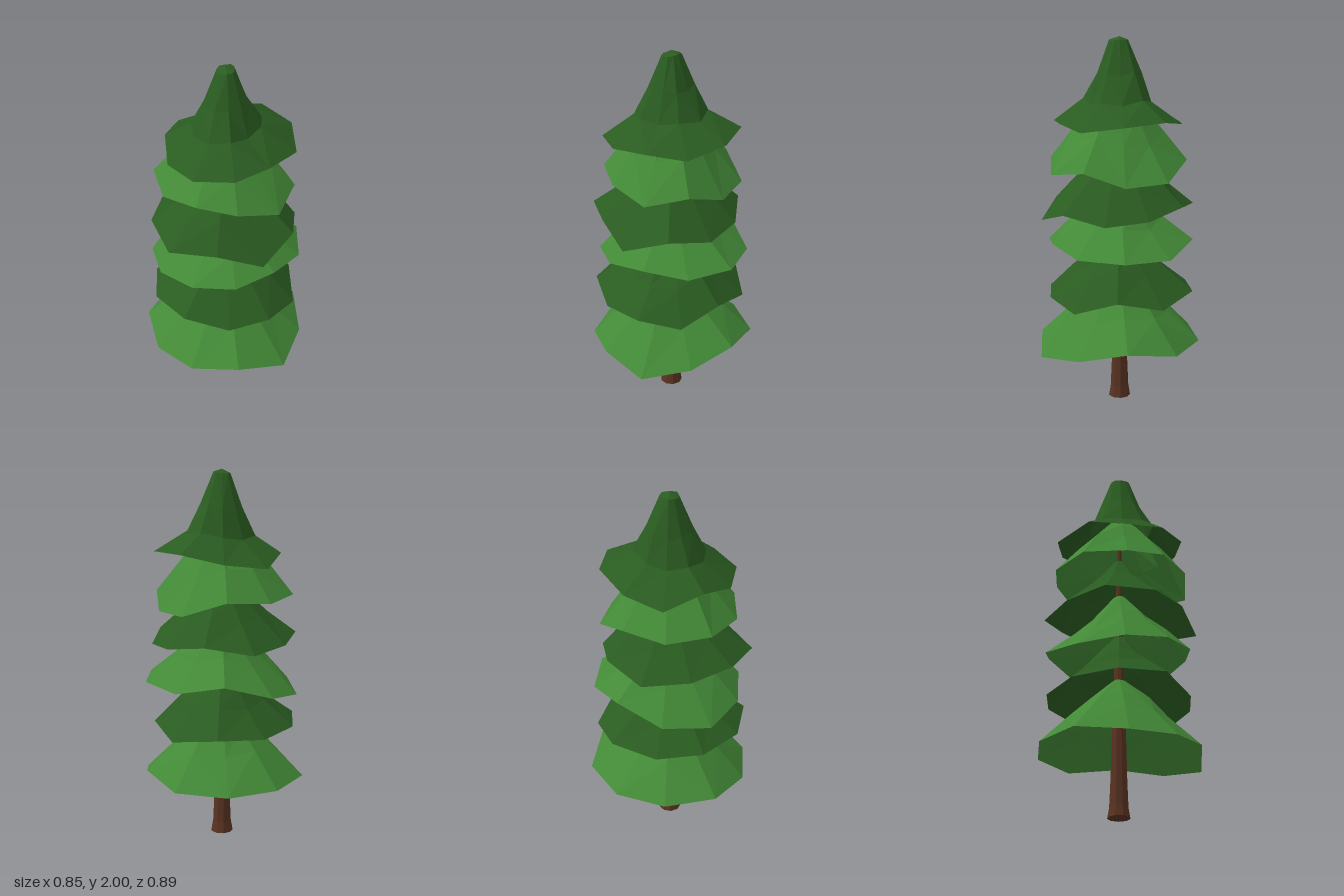
import * as THREE from 'three';

const lightGreen = new THREE.MeshStandardMaterial({ color: 0x438a37, flatShading: true, side: THREE.DoubleSide });
const darkGreen = new THREE.MeshStandardMaterial({ color: 0x2a5c21, flatShading: true, side: THREE.DoubleSide });
const bark = new THREE.MeshStandardMaterial({ color: 0x5a3322, flatShading: true });
lightGreen.name = 'light green';
darkGreen.name = 'dark green';
bark.name = 'bark brown';

// The trunk stands slightly off centre
const axis = { x: 0.006, z: -0.02 };

// Rings above the rim: [share of the rim radius, rise above the rim, jitter]
const skirt = [[0.62, 0.135, 0.025], [0.38, 0.23, 0.02], [0.08, 0.365, 0]];
const steepSkirt = [[0.62, 0.17, 0.025], [0.38, 0.285, 0.02], [0.08, 0.4, 0]];
const crown = [[0.52, 0.11, 0.03], [0.34, 0.25, 0.03], [0.14, 0.425, 0.01]];

// Branch tiers; the evenly spaced rim corners run from the start angle at the front towards +x
const tiers = [
  { name: 'bottomTier', mat: lightGreen, rings: steepSkirt, start: 10,
    heights: [0.30, 0.34, 0.40, 0.355, 0.35, 0.35, 0.35, 0.32, 0.33, 0.355],
    radii: [0.445, 0.415, 0.43, 0.46, 0.46, 0.455, 0.455, 0.43, 0.42, 0.415] },
  { name: 'secondTier', mat: darkGreen, rings: skirt, start: 3,
    heights: [0.615, 0.585, 0.66, 0.61, 0.65, 0.63, 0.64, 0.65, 0.66, 0.61],
    radii: [0.37, 0.38, 0.37, 0.41, 0.43, 0.41, 0.41, 0.41, 0.405, 0.375] },
  { name: 'thirdTier', mat: lightGreen, rings: skirt, start: 8,
    heights: [0.92, 0.89, 0.89, 0.88, 0.93, 0.85, 0.81, 0.84, 0.87, 0.89],
    radii: [0.363, 0.395, 0.425, 0.425, 0.42, 0.43, 0.42, 0.39, 0.375, 0.37] },
  { name: 'fourthTier', mat: darkGreen, rings: skirt, start: -7,
    heights: [1.03, 1.11, 1.07, 1.09, 1.13, 1.09, 1.10, 1.12, 1.09, 1.10],
    radii: [0.40, 0.385, 0.37, 0.37, 0.395, 0.425, 0.39, 0.405, 0.43, 0.365] },
  { name: 'fifthTier', mat: lightGreen, rings: steepSkirt, start: 10,
    heights: [1.30, 1.34, 1.27, 1.28, 1.36, 1.34, 1.35, 1.34, 1.37, 1.35],
    radii: [0.375, 0.355, 0.35, 0.385, 0.38, 0.39, 0.39, 0.365, 0.34, 0.35] },
  { name: 'topTier', mat: darkGreen, rings: crown, start: 8,
    heights: [1.56, 1.55, 1.585, 1.595, 1.55, 1.52, 1.57, 1.52, 1.53, 1.545],
    radii: [0.313, 0.36, 0.37, 0.375, 0.355, 0.38, 0.325, 0.33, 0.345, 0.335] },
];

function seeded(seed) {
  return () => {
    seed = (seed * 16807) % 2147483647;
    return seed / 2147483647 - 0.5;
  };
}

const mean = (values) => values.reduce((sum, v) => sum + v, 0) / values.length;

// Open, faceted skirt: jagged rim, narrowing rings, closing point
function tierGeometry({ heights, radii, rings, start }, rand) {
  const n = heights.length;
  const base = mean(heights);
  const middle = mean(radii);
  const levels = [[1, 0, 0], ...rings];
  const points = [];
  for (const [share, rise, jitter] of levels) {
    heights.forEach((y, i) => {
      const angle = THREE.MathUtils.degToRad(start + (i * 360) / n);
      const r = share * (middle + (radii[i] - middle) * share) + rand() * jitter;
      points.push(
        axis.x * (1 - share) + Math.sin(angle) * r,
        base + rise + (y - base) * share + rand() * jitter,
        axis.z * (1 - share) + Math.cos(angle) * r);
    });
  }
  // closing point just above the last ring
  points.push(axis.x, base + rings[rings.length - 1][1] + 0.02, axis.z);

  const index = [];
  const apex = levels.length * n;
  for (let level = 0; level < levels.length; level++) {
    for (let i = 0; i < n; i++) {
      const a = level * n + i;
      const b = level * n + (i + 1) % n;
      if (level === levels.length - 1) index.push(a, b, apex);
      else if (i % 2) index.push(a, b, a + n, b, b + n, a + n);
      else index.push(a, b, b + n, a, b + n, a + n);
    }
  }
  const geometry = new THREE.BufferGeometry();
  geometry.setAttribute('position', new THREE.Float32BufferAttribute(points, 3));
  geometry.setIndex(index);
  const faceted = geometry.toNonIndexed();
  faceted.computeVertexNormals();
  return faceted;
}

export function createModel() {
  const tree = new THREE.Group();
  tree.name = 'pineTree';

  // Trunk with a flared foot, tapering up through the tiers
  const profile = [[0, 0], [0.06, 0], [0.05, 0.06], [0.044, 0.2], [0.039, 0.4], [0.027, 0.8], [0.016, 1.28], [0.01, 1.65], [0, 1.66]]
    .map(([r, y]) => new THREE.Vector2(r, y));
  const trunk = new THREE.Mesh(new THREE.LatheGeometry(profile, 9), bark);
  trunk.name = 'trunk';
  trunk.position.set(axis.x, 0, axis.z);
  tree.add(trunk);

  // Six tiers of branches
  tiers.forEach((tier, i) => {
    const branches = new THREE.Mesh(tierGeometry(tier, seeded(97 + i * 1013)), tier.mat);
    branches.name = tier.name;
    tree.add(branches);
  });
  return tree;
}
